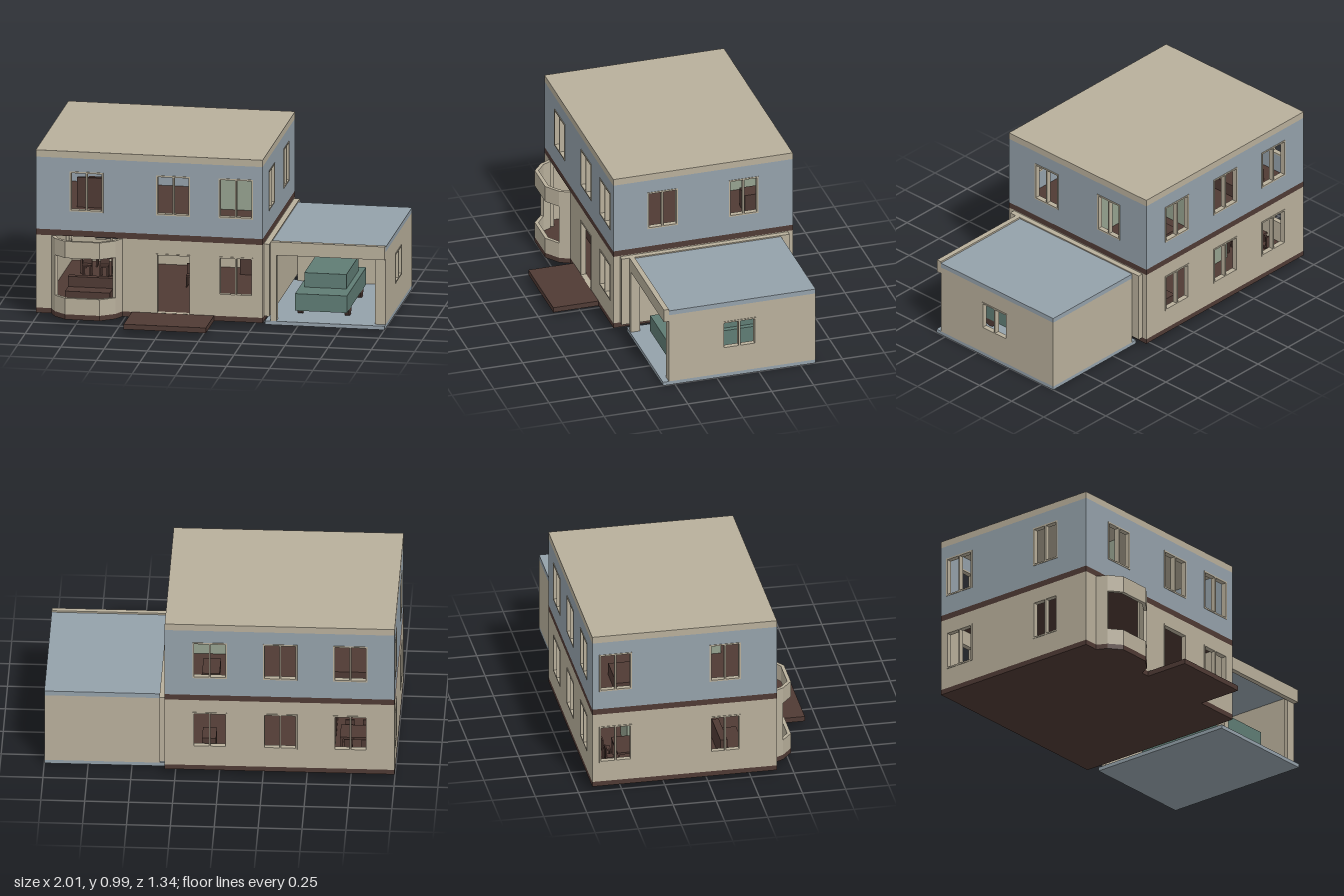
import * as THREE from 'three';

const mat = (name, color) => {
  const m = new THREE.MeshStandardMaterial({ color });
  m.name = name;
  return m;
};

export function createModel() {
  const house = new THREE.Group();
  house.name = 'house';
  const beige = mat('beige plaster', 0xb8af9b);
  const blue = mat('blue grey cladding', 0x94a1aa);
  const brown = mat('dark brown wood', 0x4f3a34);
  const teal = mat('teal paint', 0x5f7c74);
  const sage = mat('sage partition', 0x95a28f);

  const add = (name, geo, m, parent = house) => {
    const mesh = new THREE.Mesh(geo, m);
    mesh.name = name;
    parent.add(mesh);
    return mesh;
  };
  // Box from its minimum and maximum corners
  const box = (name, m, x0, x1, y0, y1, z0, z1, parent) => {
    const g = new THREE.BoxGeometry(x1 - x0, y1 - y0, z1 - z0);
    g.translate((x0 + x1) / 2, (y0 + y1) / 2, (z0 + z1) / 2);
    return add(name, g, m, parent);
  };
  const rect = (Kind, [u0, u1, y0, y1]) => new Kind([
    new THREE.Vector2(u0, y0), new THREE.Vector2(u1, y0),
    new THREE.Vector2(u1, y1), new THREE.Vector2(u0, y1)]);
  const sheet = (outer, holes, depth) => {
    const s = rect(THREE.Shape, outer);
    s.holes = holes.map(h => rect(THREE.Path, h));
    return new THREE.ExtrudeGeometry(s, { depth, bevelEnabled: false });
  };
  const T = 0.025;
  // Wall with openings; axis 'z' runs along x, axis 'x' runs along z. 'at' is its low face.
  const wall = (name, m, axis, at, outer, windows, doors = []) => {
    const g = new THREE.Group();
    g.name = name;
    add(name + 'Panel', sheet(outer, [...windows, ...doors], T), m, g);
    const b = 0.009;
    for (const [u0, u1, y0, y1] of windows) {
      const c = (u0 + u1) / 2, h = b / 2;
      add('windowFrame', sheet([u0, u1, y0, y1],
        [[u0 + b, c - h, y0 + b, y1 - b], [c + h, u1 - b, y0 + b, y1 - b]], T + 0.006), beige, g)
        .position.z = -0.003;
    }
    if (axis === 'z') g.position.z = at;
    else {
      g.rotation.y = -Math.PI / 2;
      g.position.x = at + T;
    }
    house.add(g);
  };

  // Slabs, porch and roof
  box('groundSlab', brown, -1, 0.31, 0.03, 0.06, -0.67, 0.4);
  box('porch', brown, -0.445, 0.03, 0.03, 0.06, 0.4, 0.67);
  box('upperFloor', brown, -1, 0.31, 0.49, 0.525, -0.67, 0.4);
  box('roof', beige, -1, 0.31, 0.95, 0.99, -0.67, 0.4);

  // Outer walls of both storeys
  const backU = [[-0.845, -0.65], [-0.445, -0.25], [-0.044, 0.153]];
  const frontU = [[-0.805, -0.61], [-0.305, -0.108], [0.055, 0.255]];
  const westU = [[-0.63, -0.44], [0.01, 0.19]];
  const eastU = [[-0.465, -0.29], [0.015, 0.197]];
  const storeys = [
    { n: 'lower', m: beige, y: [0.06, 0.49], w: [0.18, 0.41] },
    { n: 'upper', m: blue, y: [0.525, 0.95], w: [0.637, 0.872] }];
  for (const { n, m, y, w } of storeys) {
    const up = n === 'upper';
    const win = list => list.map(u => [...u, ...w]);
    wall(n + 'BackWall', m, 'z', -0.67, [-1, 0.31, ...y], win(backU));
    wall(n + 'RightWall', m, 'x', -1, [-0.67 + T, 0.4 - T, ...y], win(westU));
    wall(n + 'LeftWall', m, 'x', 0.31 - T, [-0.67 + T, 0.4 - T, ...y], up ? win(eastU) : []);
    if (up) wall('upperFrontWall', m, 'z', 0.4 - T, [-1, 0.31, ...y], win(frontU));
  }
  // Lower front wall: pieces either side of the bay opening
  box('bayJamb', beige, -1, -0.9, 0.06, 0.49, 0.4 - T, 0.4);
  wall('lowerFrontWall', beige, 'z', 0.4 - T, [-0.51, 0.31, 0.06, 0.49],
    [[0.055, 0.255, 0.18, 0.41]], [[-0.305, -0.105, 0.061, 0.41]]);
  add('doorFrame', sheet([-0.305, -0.105, 0.061, 0.41], [[-0.297, -0.113, 0.062, 0.402]], T + 0.006), beige)
    .position.z = 0.372;

  // Bay window: bands following a faceted outline
  const outline = [[-0.91, 0.4], [-0.88, 0.46], [-0.81, 0.518], [-0.61, 0.518], [-0.53, 0.46], [-0.5, 0.4]];
  const inner = [[-0.887, 0.4], [-0.862, 0.45], [-0.803, 0.497], [-0.617, 0.497], [-0.548, 0.45], [-0.523, 0.4]];
  const prism = (name, m, pts, y0, y1) => {
    const s = new THREE.Shape(pts.map(([x, z]) => new THREE.Vector2(x, -z)));
    const g = new THREE.ExtrudeGeometry(s, { depth: y1 - y0, bevelEnabled: false });
    g.rotateX(-Math.PI / 2);
    g.translate(0, y0, 0);
    add(name, g, m);
  };
  const band = (name, a, b, y0, y1) =>
    prism(name, beige, [...outline.slice(a, b), ...inner.slice(a, b).reverse()], y0, y1);
  prism('bayFloor', brown, outline, 0.03, 0.06);
  band('baySill', 0, 6, 0.06, 0.155);
  band('bayLintel', 0, 6, 0.392, 0.49);
  band('bayPost', 0, 2, 0.155, 0.392);
  band('bayPost', 4, 6, 0.155, 0.392);

  // Garage
  box('garagePilaster', beige, 0.31, 0.342, 0.06, 0.485, -0.64, 0.36);
  box('garageFloor', blue, 0.31, 1, 0, 0.022, -0.59, 0.32);
  box('garageRoof', blue, 0.342, 1, 0.45, 0.478, -0.59, 0.285);
  box('garageBackWall', beige, 0.342, 1, 0.022, 0.45, -0.59, -0.565);
  wall('garageSideWall', beige, 'x', 1 - T, [-0.565, 0.285, 0.022, 0.45], [[-0.235, -0.035, 0.18, 0.355]]);
  box('garageLintel', beige, 0.342, 1, 0.41, 0.488, 0.285, 0.315);
  box('garageInnerPier', beige, 0.342, 0.375, 0.022, 0.41, 0.26, 0.315);
  box('garageOuterPier', beige, 0.94, 1 - T, 0.022, 0.45, 0.26, 0.285);

  // Parked car
  box('carBody', teal, 0.468, 0.768, 0.065, 0.165, -0.4, 0.23);
  box('carCabin', teal, 0.495, 0.738, 0.165, 0.25, -0.32, 0.08);
  for (const x of [0.482, 0.754]) for (const z of [-0.27, 0.12]) {
    const wheel = new THREE.CylinderGeometry(0.045, 0.045, 0.026, 16);
    wheel.rotateZ(Math.PI / 2);
    add('carWheel', wheel, brown).position.set(x, 0.067, z);
  }

  // Inner partitions
  box('upperCrossPartition', sage, -0.2, 0.285, 0.525, 0.95, -0.21, -0.195);
  box('upperLongPartition', sage, -0.2, -0.185, 0.525, 0.95, -0.645, -0.21);
  box('upperHallPartition', sage, -0.46, -0.445, 0.525, 0.95, -0.2, 0.18);
  box('lowerPartition', sage, -0.65, -0.45, 0.06, 0.49, -0.4, -0.385);

  // Stairs
  for (let i = 0; i < 6; i++)
    box('stairStep', brown, -0.65, -0.53, 0.06, 0.1 + i * 0.04, -0.06 - i * 0.05, -0.01 - i * 0.05);

  // Furniture
  box('sofaSeat', brown, -0.86, -0.6, 0.06, 0.12, 0.1, 0.24);
  box('sofaBack', brown, -0.86, -0.6, 0.12, 0.18, 0.1, 0.14);
  const seat = (x, y, z) => {
    const g = new THREE.Group();
    g.name = 'chair';
    box('chairSeat', brown, -0.025, 0.025, 0.06, 0.07, -0.025, 0.025, g);
    box('chairBack', brown, -0.025, 0.025, 0.07, 0.13, -0.025, -0.017, g);
    for (const a of [-0.021, 0.021]) for (const b of [-0.021, 0.021])
      box('chairLeg', brown, a - 0.004, a + 0.004, 0, 0.06, b - 0.004, b + 0.004, g);
    g.position.set(x, y, z);
    house.add(g);
  };
  box('diningTableTop', brown, -0.88, -0.68, 0.155, 0.167, -0.5, -0.36);
  for (const x of [-0.87, -0.69]) for (const z of [-0.49, -0.37])
    box('diningTableLeg', brown, x - 0.006, x + 0.006, 0.06, 0.155, z - 0.006, z + 0.006);
  for (const x of [-0.83, -0.73]) { seat(x, 0.06, -0.54); seat(x, 0.06, -0.32); }
  seat(-0.21, 0.06, -0.2);
  box('cabinet', brown, 0.02, 0.1, 0.06, 0.21, -0.62, -0.5);
  box('bedBase', brown, -0.85, -0.6, 0.525, 0.6, -0.5, -0.1);
  box('bedHeadboard', brown, -0.85, -0.6, 0.525, 0.7, -0.12, -0.1);
  box('wardrobe', brown, 0.0, 0.1, 0.525, 0.64, -0.62, -0.45);

  return house;
}
